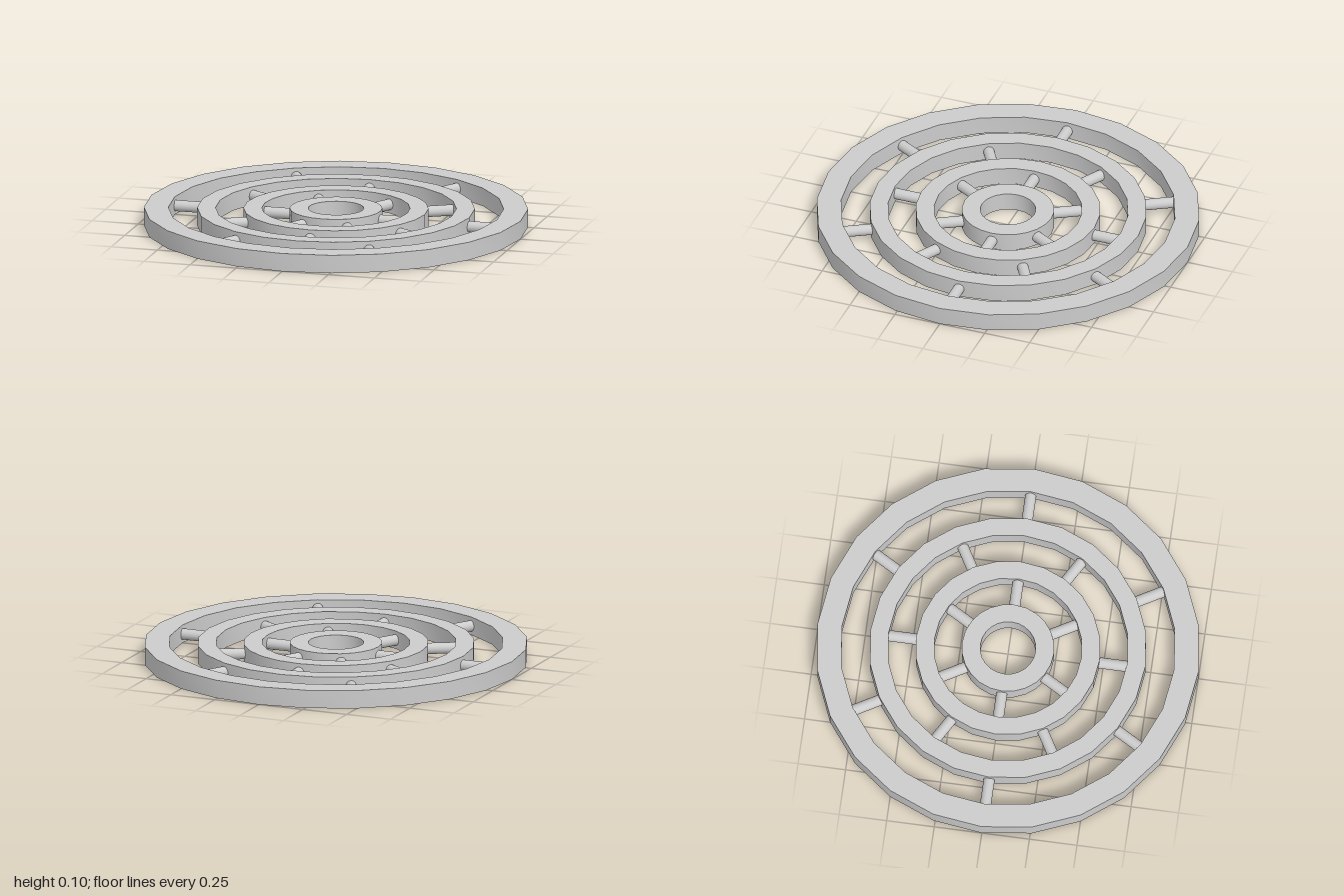
import * as THREE from 'three';
import { toCreasedNormals } from 'three/addons/utils/BufferGeometryUtils.js';

const HEIGHT = 0.096;
const SPOKE_RADIUS = 0.029;
// concentric rings from the hub outwards
const RINGS = [
  { name: 'hub', inner: 0.145, outer: 0.241 },
  { name: 'innerRing', inner: 0.386, outer: 0.482 },
  { name: 'middleRing', inner: 0.627, outer: 0.723 },
  { name: 'outerRim', inner: 0.873, outer: 1 },
];

// flat-topped ring with 24 sides, smooth round its walls
function ringGeometry(inner, outer) {
  const shape = new THREE.Shape().absarc(0, 0, outer, 0, Math.PI * 2);
  shape.holes.push(new THREE.Path().absarc(0, 0, inner, 0, Math.PI * 2));
  const geometry = new THREE.ExtrudeGeometry(shape, {
    depth: HEIGHT, bevelEnabled: false, curveSegments: 12,
  });
  geometry.rotateX(-Math.PI / 2);
  return toCreasedNormals(geometry, 0.6);
}

// round bar along x from one radius to another
function spokeGeometry(from, to) {
  const geometry = new THREE.CylinderGeometry(SPOKE_RADIUS, SPOKE_RADIUS, to - from, 24);
  geometry.rotateZ(Math.PI / 2);
  geometry.translate((from + to) / 2, HEIGHT / 2, 0);
  return geometry;
}

export function createModel() {
  const model = new THREE.Group();
  model.name = 'spokedRings';
  const material = new THREE.MeshStandardMaterial({ color: 0xcccccc });

  RINGS.forEach((ring, i) => {
    const mesh = new THREE.Mesh(ringGeometry(ring.inner, ring.outer), material);
    mesh.name = ring.name;
    model.add(mesh);

    // six spokes out to the next ring, staggered by 30 degrees in every other gap
    const next = RINGS[i + 1];
    if (!next) return;
    const spokes = new THREE.Group();
    spokes.name = `${ring.name}Spokes`;
    const geometry = spokeGeometry(ring.outer - 0.02, next.inner + 0.02);
    for (let k = 0; k < 6; k++) {
      const spoke = new THREE.Mesh(geometry, material);
      spoke.name = 'spoke';
      spoke.rotation.y = (k * Math.PI) / 3 + (i % 2) * (Math.PI / 6);
      spokes.add(spoke);
    }
    model.add(spokes);
  });

  return model;
}
